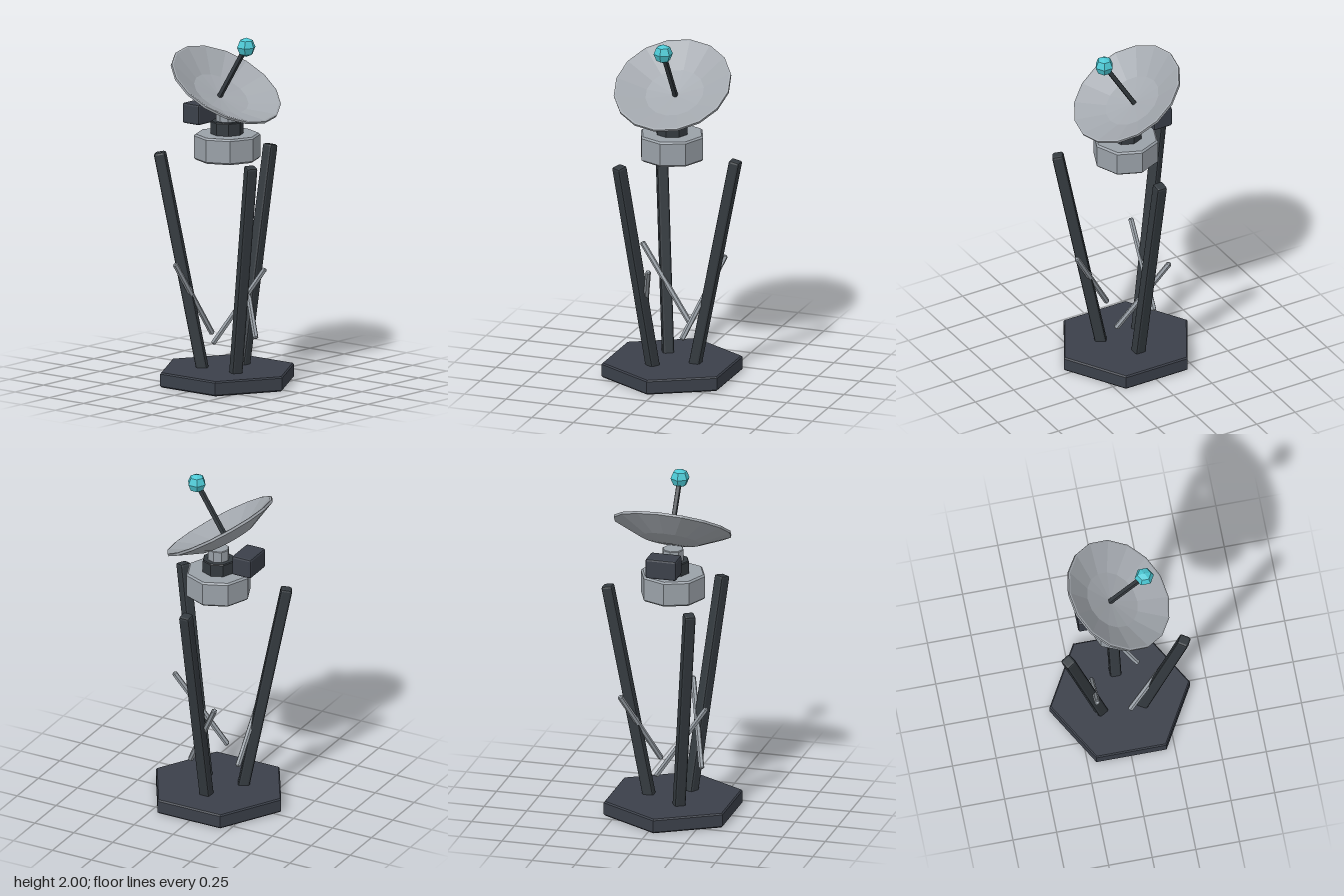
import * as THREE from 'three';
import { RoundedBoxGeometry } from 'three/addons/geometries/RoundedBoxGeometry.js';

const mat = (name, color) => {
  const m = new THREE.MeshStandardMaterial({ color });
  m.name = name;
  return m;
};

// Faceted normals baked into the geometry
const facet = (geo) => {
  const g = geo.index ? geo.toNonIndexed() : geo;
  g.computeVertexNormals();
  return g;
};

// Lathe with few sides from [radius, height] points
const lathe = (points, sides) =>
  facet(new THREE.LatheGeometry(points.map(([r, y]) => new THREE.Vector2(r, y)), sides));

// Upright prism from y0 to y1 with chamfered rims
const prism = (r, y0, y1, sides, c) =>
  lathe([[0, y0], [r - c, y0], [r, y0 + c], [r, y1 - c], [r - c, y1], [0, y1]], sides);

const chamferBox = (w, h, d, c) => facet(new RoundedBoxGeometry(w, h, d, 1, c));

const UP = new THREE.Vector3(0, 1, 0);

// Places a y-aligned mesh so that it runs between two points
function span(mesh, a, b) {
  mesh.position.copy(a).add(b).multiplyScalar(0.5);
  mesh.quaternion.setFromUnitVectors(UP, b.clone().sub(a).normalize());
  return mesh;
}

const polar = (r, deg, y) => {
  const t = THREE.MathUtils.degToRad(deg);
  return new THREE.Vector3(r * Math.cos(t), y, r * Math.sin(t));
};

export function createModel() {
  const slate = mat('slate', 0x3b404a);
  const darkMetal = mat('dark metal', 0x343a3f);
  const steel = mat('steel', 0x9aa1a8);
  const dishGrey = mat('dish grey', 0xa3a8ae);
  const teal = mat('teal', 0x4cc8d4);

  const model = new THREE.Group();
  model.name = 'dishAntenna';
  const body = new THREE.Group();
  body.name = 'body';
  body.position.x = -0.035;
  model.add(body);

  const add = (parent, name, geo, material) => {
    const m = new THREE.Mesh(geo, material);
    m.name = name;
    parent.add(m);
    return m;
  };

  // Hexagonal base plate
  add(body, 'base', prism(0.402, 0, 0.085, 6, 0.008), slate);

  // Three splayed legs, each with a thin slanted brace
  for (let i = 0; i < 3; i++) {
    const legFrame = new THREE.Group();
    legFrame.name = 'legFrame' + (i + 1);
    legFrame.rotation.y = (i * Math.PI * 2) / 3;
    body.add(legFrame);
    const foot = new THREE.Vector3(0.135, 0.05, 0);
    const tip = new THREE.Vector3(0.384, 1.312, 0);
    span(add(legFrame, 'leg', chamferBox(0.065, foot.distanceTo(tip), 0.065, 0.013), darkMetal), foot, tip);

    const low = polar(0.162, 50, 0.252);
    const high = polar(0.303, -24.5, 0.698);
    const h = low.distanceTo(high) / 2;
    span(add(legFrame, 'brace', prism(0.016, -h, h, 6, 0.007), steel), low, high);
  }

  // Turret head, collar and neck
  add(body, 'head', prism(0.188, 1.285, 1.432, 8, 0.01), steel);
  add(body, 'collar', prism(0.093, 1.425, 1.506, 8, 0.005), darkMetal);
  add(body, 'neck', prism(0.062, 1.5, 1.572, 8, 0.004), steel);

  // Equipment box behind the neck
  add(body, 'equipmentBox', chamferBox(0.18, 0.118, 0.122, 0.012), slate).position.set(0, 1.531, -0.193);

  // Tilted dish with its feed rod
  const dish = new THREE.Group();
  dish.name = 'dishAssembly';
  dish.position.set(0, 1.715, -0.005);
  dish.rotation.x = 0.56;
  body.add(dish);
  add(dish, 'dish', lathe([
    [0, -0.11], [0.172, -0.088], [0.337, -0.014], [0.337, 0],
    [0.327, 0.001], [0.168, -0.07], [0, -0.092],
  ], 16), dishGrey);
  add(dish, 'feedRod', chamferBox(0.026, 0.37, 0.026, 0.006), darkMetal).position.y = 0.085;

  // Faceted receiver ball
  const ball = add(body, 'receiver', facet(new THREE.SphereGeometry(0.055, 6, 4)), teal);
  ball.position.set(0, 1.945, 0.14);
  ball.rotation.y = Math.PI / 2;

  return model;
}
